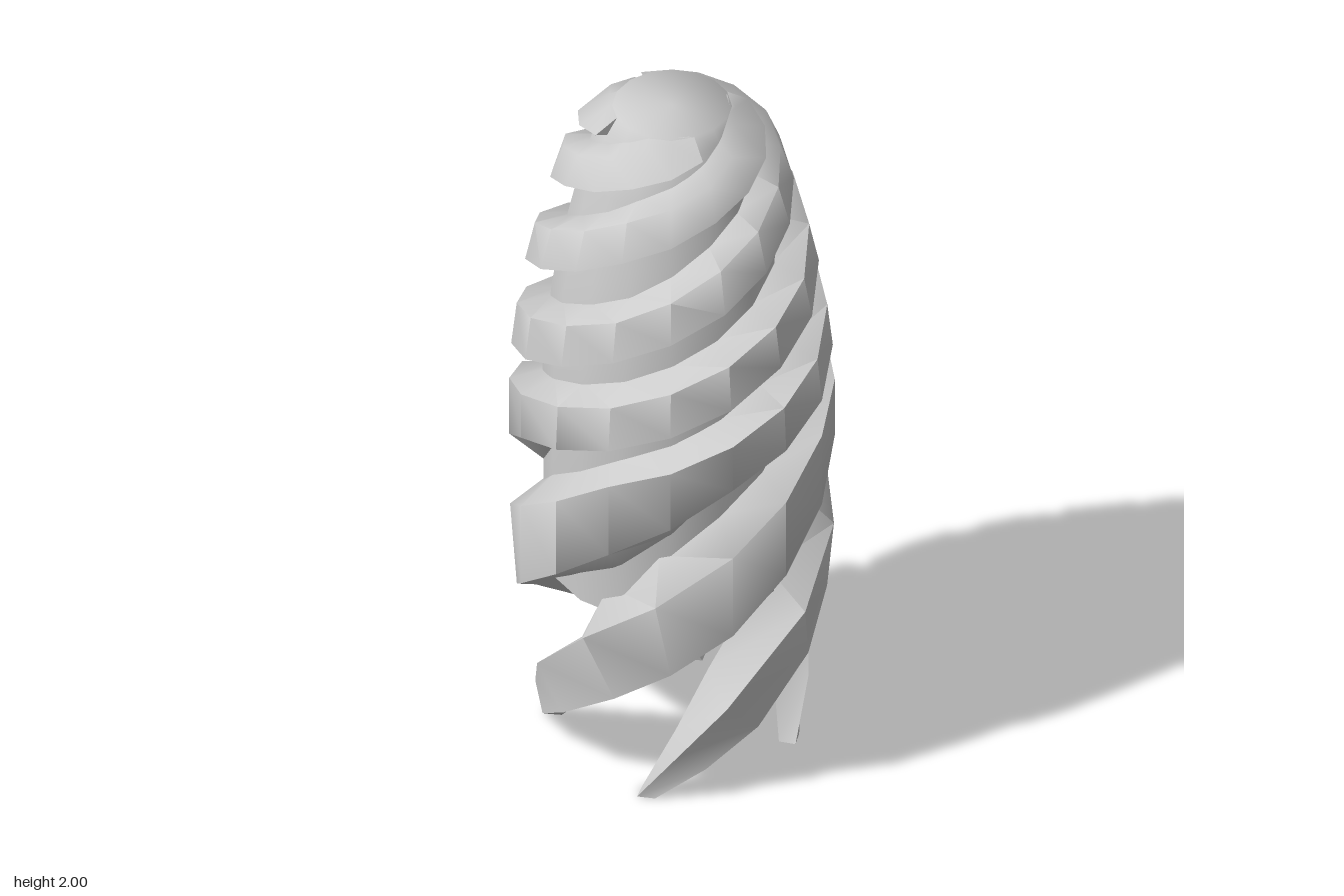
import * as THREE from 'three';
import { toCreasedNormals } from 'three/addons/utils/BufferGeometryUtils.js';

const material = new THREE.MeshStandardMaterial({ color: 0xcccccc, side: THREE.DoubleSide });

// Piecewise linear lookup in a table of [key, value] pairs
function lookup(table, k) {
  let i = 0;
  while (i < table.length - 2 && k > table[i + 1][0]) i++;
  const [a, b] = [table[i], table[i + 1]];
  return THREE.MathUtils.lerp(a[1], b[1], THREE.MathUtils.clamp((k - a[0]) / (b[0] - a[0]), 0, 1));
}

// Outer radius and rib depth by height
const RADIUS = [[0, 0.335], [0.27, 0.375], [0.57, 0.425], [1.18, 0.425], [1.3, 0.412], [1.43, 0.397],
  [1.57, 0.37], [1.69, 0.34], [1.82, 0.302], [1.91, 0.265], [1.96, 0.215], [2, 0.155]];
const DEPTH = [[0, 0.04], [0.3, 0.13], [0.57, 0.13], [0.8, 0.09], [1.4, 0.085], [1.75, 0.075],
  [1.94, 0.055], [2, 0]];
const outer = (y) => lookup(RADIUS, y);
const inner = (y) => outer(y) - lookup(DEPTH, y);

// Heights of a rib's lower and upper edge by quarter turns
const LOWER = [[0, 0.57], [0.5, 0.83], [1, 1.04], [1.5, 1.165], [2, 1.29], [2.5, 1.43], [3, 1.57],
  [3.5, 1.71], [4, 1.82], [4.5, 1.905], [5, 1.96]];
const UPPER = [[0, 0.82], [0.5, 1.05], [1, 1.18], [1.5, 1.295], [2, 1.42], [2.5, 1.545], [3, 1.69],
  [3.5, 1.82], [4, 1.91], [4.5, 1.985], [5, 2]];

// How far the flanks slope away below and above the rib; wider on the lower body
const LOWER_FLANK = [[0, 0], [0.5, 0.11], [1, 0.06], [1.5, 0.02], [5, 0.01]];
const UPPER_FLANK = [[-1.42, 0], [-0.5, 0.11], [0, 0.08], [0.5, 0.03], [5, 0.02]];

// Leg rows from the foot up: lower turn, lower height, upper turn, upper height
const LEG = [[-1.33, 0, -1.42, 0], [-1.08, 0.1, -1.22, 0.15], [-0.82, 0.2, -1, 0.3],
  [-0.5, 0.34, -0.62, 0.53], [-0.25, 0.45, -0.31, 0.68]];

function point(turn, r, y) {
  const a = -turn * Math.PI / 2;
  return [r * Math.cos(a), y, r * Math.sin(a)];
}

// One rib: a four-cornered section swept from the foot to the crown
function ribGeometry() {
  const rows = [...LEG];
  for (let i = 0; i <= 20; i++) rows.push([i / 4, lookup(LOWER, i / 4), i / 4, lookup(UPPER, i / 4)]);
  const positions = [];
  const index = [];
  for (const [ql, yl, qu, yu] of rows) {
    const lowRoot = yl - lookup(LOWER_FLANK, ql);
    const highRoot = Math.min(2, yu + lookup(UPPER_FLANK, qu));
    positions.push(...point(ql, inner(lowRoot) - 0.005, lowRoot), ...point(ql, outer(yl), yl),
      ...point(qu, outer(yu), yu), ...point(qu, inner(highRoot) - 0.005, highRoot));
  }
  const last = (rows.length - 1) * 4;
  for (let i = 0; i < last; i += 4) {
    for (let j = 0; j < 4; j++) {
      const a = i + j, b = i + (j + 1) % 4;
      index.push(a, a + 4, b, b, a + 4, b + 4);
    }
  }
  index.push(0, 1, 2, 0, 2, 3, last, last + 2, last + 1, last, last + 3, last + 2);
  const g = new THREE.BufferGeometry();
  g.setAttribute('position', new THREE.Float32BufferAttribute(positions, 3));
  g.setIndex(index);
  return toCreasedNormals(g, 1.2);
}

export function createModel() {
  const model = new THREE.Group();

  // Domed core between the ribs, closed above and open below
  const profile = [new THREE.Vector2(0.335, 0.57)];
  for (const y of [0.8, 1.18, 1.3, 1.43, 1.57, 1.69, 1.82, 1.91, 1.96, 2]) {
    profile.push(new THREE.Vector2(inner(y), y));
  }
  profile.push(new THREE.Vector2(0, 2));
  const core = new THREE.Mesh(toCreasedNormals(new THREE.LatheGeometry(profile, 16), 1.2), material);
  core.name = 'core';
  model.add(core);

  // Four spiral ribs that run down into the legs
  const geometry = ribGeometry();
  for (let i = 0; i < 4; i++) {
    const rib = new THREE.Mesh(geometry, material);
    rib.name = `spiralRibAndLeg${i + 1}`;
    rib.rotation.y = i * Math.PI / 2;
    model.add(rib);
  }
  return model;
}
